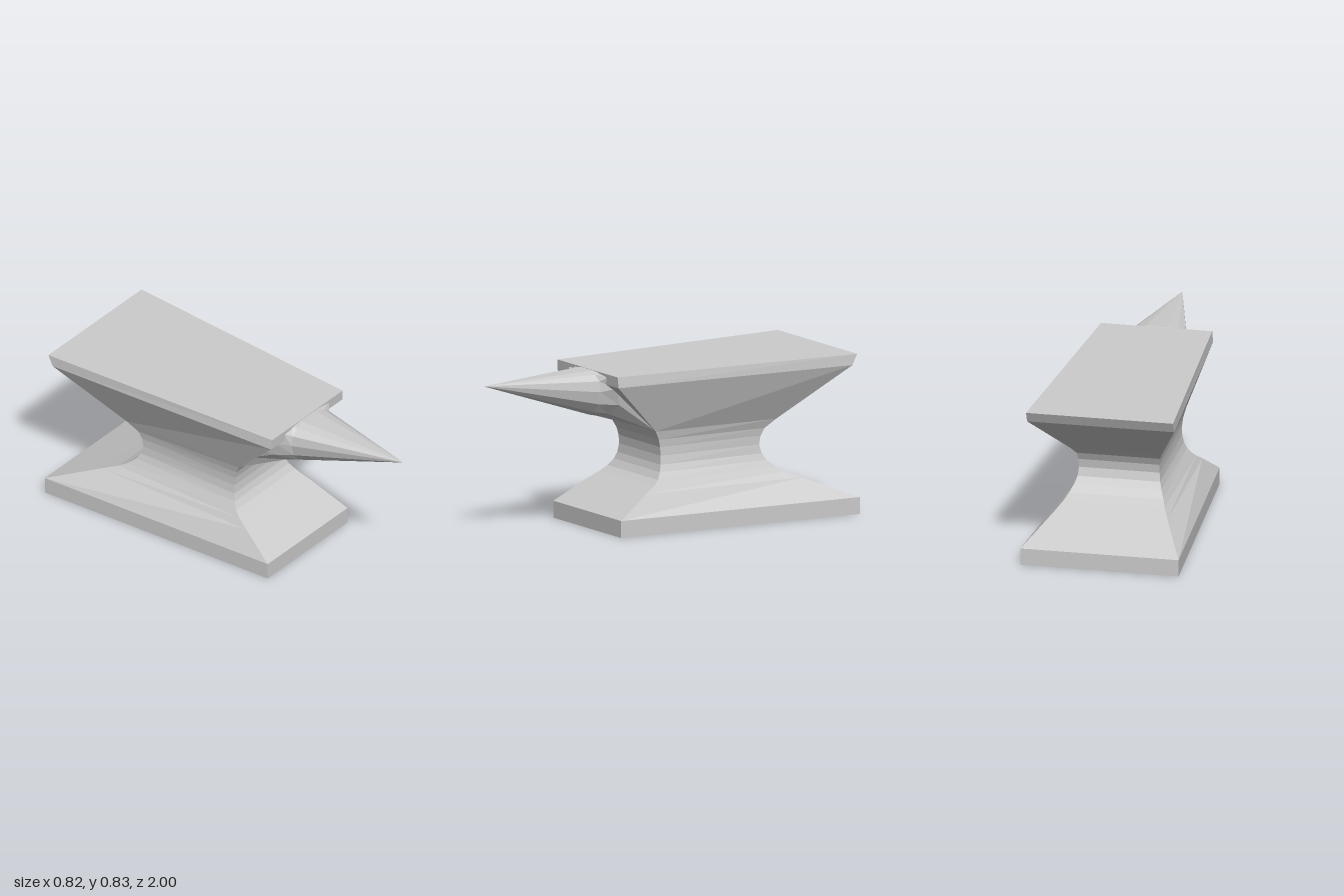
import * as THREE from 'three';

const material = new THREE.MeshStandardMaterial({ color: 0xcccccc, flatShading: true });

// Skins a series of equal-length rings, closing the first and last with fans.
function loft(name, rings) {
  const pos = [];
  const tri = (a, b, c) => {
    const [A, B, C] = [a, b, c].map((p) => new THREE.Vector3(...p));
    if (new THREE.Triangle(A, B, C).getArea() > 1e-7) pos.push(...a, ...b, ...c);
  };
  const n = rings[0].length;
  for (let r = 0; r < rings.length - 1; r++) {
    const lo = rings[r], hi = rings[r + 1];
    for (let i = 0; i < n; i++) {
      const j = (i + 1) % n;
      tri(lo[i], lo[j], hi[j]);
      tri(lo[i], hi[j], hi[i]);
    }
  }
  const first = rings[0], last = rings[rings.length - 1];
  for (let i = 1; i < n - 1; i++) {
    tri(first[0], first[i + 1], first[i]);
    tri(last[0], last[i], last[i + 1]);
  }
  const geometry = new THREE.BufferGeometry();
  geometry.setAttribute('position', new THREE.Float32BufferAttribute(pos, 3));
  geometry.computeVertexNormals();
  const mesh = new THREE.Mesh(geometry, material);
  mesh.name = name;
  return mesh;
}

// Tapered horizontal section: narrower at the front than at the back.
const section = ([y, zFront, zBack, xFront, xBack]) => [
  [xFront, y, zFront], [xBack, y, zBack], [-xBack, y, zBack], [-xFront, y, zFront],
];

// Mirrors the +x half of a horn ring (listed bottom to top).
const mirrored = (half) => [...half, ...half.slice().reverse().map(([x, y, z]) => [-x, y, z])];

export function createModel() {
  const anvil = new THREE.Group();
  anvil.name = 'anvil';

  // Columns: y, front z, back z, front half-width, back half-width
  const base = [[0, 0.38, -1, 0.328, 0.412], [0.088, 0.38, -1, 0.328, 0.412]];
  const waist = [
    base[1],
    [0.2, 0.2, -0.725, 0.277, 0.295],
    [0.235, 0.14, -0.64, 0.258, 0.262],
    [0.26, 0.107, -0.595, 0.244, 0.246],
    [0.295, 0.083, -0.555, 0.223, 0.227],
    [0.33, 0.07, -0.532, 0.209, 0.215],
    [0.375, 0.065, -0.52, 0.201, 0.21],
    [0.42, 0.068, -0.527, 0.2, 0.211],
    [0.46, 0.078, -0.547, 0.204, 0.218],
    [0.505, 0.102, -0.605, 0.214, 0.236],
  ];
  const head = [
    waist[waist.length - 1],
    [0.77, 0.375, -0.972, 0.295, 0.383],
    [0.826, 0.378, -1, 0.29, 0.383],
  ];
  anvil.add(loft('base', base.map(section)));
  anvil.add(loft('waist', waist.map(section)));
  anvil.add(loft('head', head.map(section)));

  // Horn: root on the sloping front, shoulder, rim, then the point
  const root = [
    [0.05, 0.506, 0.1], [0.21, 0.506, 0.1], [0.215, 0.6, 0.18], [0.22, 0.68, 0.26],
    [0.22, 0.75, 0.32], [0.2, 0.8, 0.33], [0.06, 0.82, 0.33],
  ];
  const shoulder = [
    [0.05, 0.588, 0.36], [0.13, 0.61, 0.34], [0.195, 0.66, 0.31], [0.212, 0.75, 0.335],
    [0.19, 0.81, 0.37], [0.12, 0.818, 0.37], [0.06, 0.823, 0.37],
  ];
  const rim = [
    [0.05, 0.597, 0.4], [0.1, 0.617, 0.4], [0.14, 0.665, 0.4], [0.157, 0.73, 0.4],
    [0.15, 0.785, 0.4], [0.11, 0.813, 0.4], [0.06, 0.826, 0.385],
  ];
  const tip = rim.map(() => [0, 0.795, 1]);
  anvil.add(loft('horn', [root, shoulder, rim, tip].map(mirrored)));

  return anvil;
}
